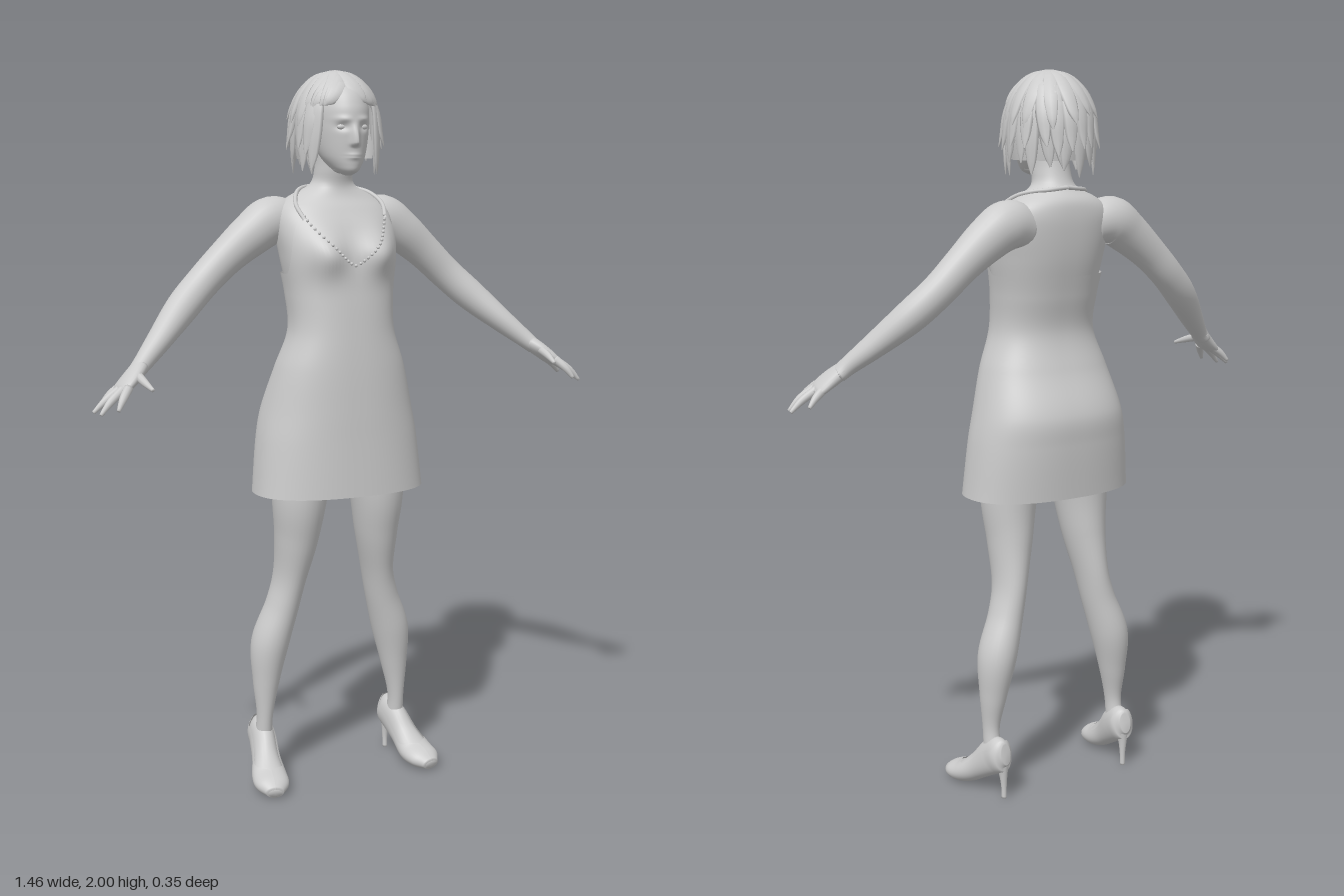
import * as THREE from 'three';
import { mergeGeometries } from 'three/addons/utils/BufferGeometryUtils.js';

const { sin, cos, abs, exp, sign, PI } = Math;
const V = (x, y, z) => new THREE.Vector3(x, y, z);
const step = THREE.MathUtils.smoothstep;
const lerp = THREE.MathUtils.lerp;
const skin = new THREE.MeshStandardMaterial({ color: 0xcccccc });
const thin = new THREE.MeshStandardMaterial({ color: 0xcccccc, side: THREE.DoubleSide });

// Surface from fn(u, v): u runs around, v runs along; shared seam when closed
function grid(fn, nu, nv, closed = true) {
  const pos = [], idx = [], w = closed ? nu : nu + 1;
  for (let j = 0; j <= nv; j++) for (let i = 0; i < w; i++) pos.push(...fn(i / nu, j / nv).toArray());
  for (let j = 0; j < nv; j++) for (let i = 0; i < nu; i++) {
    const a = j * w + i, b = j * w + (i + 1) % w;
    idx.push(a, b, a + w, b, b + w, a + w);
  }
  const g = new THREE.BufferGeometry();
  g.setAttribute('position', new THREE.Float32BufferAttribute(pos, 3));
  g.setIndex(idx);
  g.computeVertexNormals();
  return g;
}

// Elliptical sweep through stations [x, y, z, a, b]; a lies along ref. gap(t) opens the top
function sweep(stations, ref, nu = 16, nv = 32, gap = null) {
  const path = new THREE.CatmullRomCurve3(stations.map(s => V(s[0], s[1], s[2])), false, 'catmullrom');
  const size = new THREE.CatmullRomCurve3(stations.map(s => V(s[3], s[4], 0)), false, 'catmullrom');
  const rings = [];
  for (let j = 0; j <= nv + 2; j++) {
    const t = THREE.MathUtils.clamp((j - 1) / nv, 0, 1), tan = path.getTangent(t);
    const s = ref.clone().addScaledVector(tan, -ref.dot(tan)).normalize();
    const r = size.getPoint(t), end = j === 0 || j === nv + 2 ? 0 : 1;
    rings.push({ c: path.getPoint(t), s: s.clone().multiplyScalar(r.x * end), u: tan.clone().cross(s).multiplyScalar(r.y * end), g: gap ? gap(t) : 0 });
  }
  return grid((u, v) => {
    const k = rings[Math.round(v * (nv + 2))], q = PI / 2 + k.g + u * (2 * PI - 2 * k.g);
    return k.c.clone().addScaledVector(k.s, cos(q)).addScaledVector(k.u, sin(q));
  }, nu, nv + 2, !gap);
}

// Smooth interpolation of rows [y, halfWidth, zFront, zBack]
function profile(rows) {
  const slope = (i, k) => {
    const a = rows[Math.max(i - 1, 0)], b = rows[Math.min(i + 1, rows.length - 1)];
    return (b[k] - a[k]) / (b[0] - a[0]);
  };
  return y => {
    let i = 0;
    while (i < rows.length - 2 && y > rows[i + 1][0]) i++;
    const p = rows[i], q = rows[i + 1], h = q[0] - p[0], t = (y - p[0]) / h, t2 = t * t, t3 = t2 * t;
    return [1, 2, 3].map(k => (2 * t3 - 3 * t2 + 1) * p[k] + (t3 - 2 * t2 + t) * h * slope(i, k)
      + (3 * t2 - 2 * t3) * q[k] + (t3 - t2) * h * slope(i + 1, k));
  };
}

const torsoRows = profile([
  [0.85, 0.245, 0.135, -0.16], [1.0, 0.228, 0.13, -0.172], [1.08, 0.212, 0.128, -0.172], [1.2, 0.18, 0.124, -0.125],
  [1.3, 0.146, 0.118, -0.1], [1.4, 0.148, 0.11, -0.118], [1.5, 0.163, 0.098, -0.14], [1.58, 0.172, 0.068, -0.15],
  [1.63, 0.16, 0.04, -0.15], [1.66, 0.125, 0.02, -0.142], [1.69, 0.068, 0.012, -0.115], [1.73, 0.056, 0.02, -0.1], [1.8, 0.055, 0.03, -0.09]]);

// Torso point at azimuth q (0 = front) and height y, pushed out by off
function torso(q, y, off = 0) {
  const [w, f, b] = torsoRows(y), n = lerp(0.84, 1, step(y, 1.6, 1.7));
  const x = w * sign(sin(q)) * abs(sin(q)) ** n, c = sign(cos(q)) * abs(cos(q)) ** n;
  const bust = 0.034 * exp(-(((abs(x) - 0.08) / 0.05) ** 2) - ((y - 1.515) / 0.055) ** 2) * step(c, 0, 0.5);
  return V(x + off * sin(q), y, (f + b) / 2 + c * (f - b) / 2 + bust + off * cos(q));
}

// Upper edge of the dress: V neck, peaks over the bust, low back
const neckline = q => {
  const a = abs(q);
  return a < 0.7 ? lerp(1.48, 1.61, (a / 0.7) ** 1.2) : lerp(1.61, 1.455, step(a, 0.7, 1.5));
};

const headRows = profile([
  [1.718, 0.008, 0.07, 0.04], [1.728, 0.027, 0.088, 0.005], [1.745, 0.043, 0.094, -0.03], [1.77, 0.058, 0.096, -0.06],
  [1.81, 0.07, 0.1, -0.1], [1.85, 0.076, 0.102, -0.12], [1.9, 0.077, 0.097, -0.13], [1.95, 0.06, 0.066, -0.11], [1.985, 0.015, 0, -0.05]]);

function headPoint(q, y) {
  const [w, f, b] = headRows(y), x = w * sin(q);
  let z = (f + b) / 2 + cos(q) * (f - b) / 2;
  if (cos(q) > 0) {
    const dot = (cx, cy, sx, sy) => exp(-(((abs(x) - cx) / sx) ** 2) - ((y - cy) / sy) ** 2);
    z += 0.022 * exp(-((x / 0.01) ** 2)) * step(y, 1.79, 1.803) * (1 - step(y, 1.803, 1.87)); // nose
    z += 0.006 * dot(0, 1.768, 0.018, 0.008) - 0.003 * dot(0, 1.768, 0.02, 0.002); // lips
    z += 0.005 * dot(0.03, 1.865, 0.02, 0.008) - 0.008 * dot(0.031, 1.845, 0.015, 0.01); // brows, sockets
  }
  return V(x, y, z);
}

// Hair volume: ellipsoid above the ears, gently tapering below; k scales the radius
function hairPoint(q, phi, k = 1) {
  const d = Math.max(phi - PI / 2, 0), r = k * (d > 0 ? 1 - 0.12 * d * d : sin(phi));
  return V(0.11 * r * sin(q), 1.862 + 0.13 * (d > 0 ? -d : cos(phi)), -0.032 + 0.125 * r * cos(q));
}

function hairLocks() {
  let seed = 7;
  const rnd = () => (seed = (seed * 16807) % 2147483647) / 2147483647;
  const locks = [];
  [[1.6, 15, 1.13], [2.15, 19, 1.2], [2.55, 21, 1.17]].forEach(([last, count, flick], layer) => {
    for (let i = 0; i < count; i++) {
      const q0 = ((i + 0.5) / count) * 2 * PI - PI, front = abs(q0) < 0.85;
      const end = front ? 1.2 + 0.2 * abs(q0) : last + 0.3 * (rnd() - 0.5);
      const swing = front ? sign(q0 + 0.15) * 0.4 : (rnd() - 0.5) * 0.35;
      const start = 0.08 + 0.25 * layer, tip = front ? 1.05 : flick + 0.08 * (rnd() - 0.5);
      const pts = [0, 0.3, 0.6, 0.85, 1].map((t, n) => {
        const p = hairPoint(q0 + swing * t * t, lerp(start, end, t), lerp(1, tip, t ** 4));
        return [p.x, p.y, p.z, [0.01, 0.02, 0.022, 0.015, 0.002][n], [0.004, 0.007, 0.008, 0.006, 0.001][n]];
      });
      locks.push(sweep(pts, V(cos(q0), 0, -sin(q0)), 8, 14));
    }
  });
  return mergeGeometries(locks);
}

export function createModel() {
  const model = new THREE.Group();
  const add = (name, geo, mat = skin, parent = model) => {
    const m = new THREE.Mesh(geo, mat);
    m.name = name;
    parent.add(m);
    return m;
  };
  const around = u => u * 2 * PI - PI;

  add('torso', grid((u, v) => torso(around(u), lerp(1.0, 1.79, v), -0.004), 72, 90));
  add('dress', grid((u, v) => torso(around(u), lerp(0.85, neckline(around(u)), v), 0.003), 96, 80), thin);
  add('head', grid((u, v) => headPoint(around(u), lerp(1.718, 1.985, v)), 96, 90));
  add('chinUnderside', new THREE.SphereGeometry(0.035, 20, 12).scale(1, 0.5, 1.3).translate(0, 1.738, 0.038));

  // Cap of hair, cut away over the face, with layered locks on top
  add('hairCap', grid((u, v) => {
    const q = around(u), edge = lerp(1.0, 2.35, step(abs(q), 0.8, 1.2));
    return hairPoint(q, edge * (1 - v), 0.99);
  }, 64, 28), thin);
  add('hairLocks', hairLocks());

  // Beaded trim along the neckline
  const beads = [];
  for (let i = -14; i <= 14; i++) {
    const q = i * 0.05, p = torso(q, neckline(q), 0.004);
    beads.push(new THREE.SphereGeometry(0.0045, 8, 6).translate(p.x, p.y, p.z));
  }
  add('necklineBeads', mergeGeometries(beads));

  for (const [side, m] of [['left', 1], ['right', -1]]) {
    const body = new THREE.Group();
    body.name = side + 'Side';
    model.add(body);
    const limb = (name, pts, ref, ...opt) =>
      add(side + name, sweep(pts.map(([x, ...r]) => [x * m, ...r]), ref, ...opt), opt[2] ? thin : skin, body);

    const strap = [[0.7, 1.6], [0.95, 1.64], [1.35, 1.668], [1.9, 1.68], [2.5, 1.685], [PI, 1.69]].map(([q, y]) => torso(q * m, y, 0.003));
    add(side + 'Strap', new THREE.TubeGeometry(new THREE.CatmullRomCurve3(strap), 30, 0.006, 8), skin, body);
    add(side + 'Eye', new THREE.SphereGeometry(0.011, 16, 10).scale(1.2, 0.7, 0.7).translate(0.031 * m, 1.845, 0.082), skin, body);

    limb('Arm', [[0.1, 1.585, -0.08, 0.05, 0.055], [0.165, 1.595, -0.083, 0.06, 0.066], [0.225, 1.56, -0.08, 0.056, 0.06],
      [0.3, 1.5, -0.08, 0.047, 0.05], [0.37, 1.435, -0.075, 0.044, 0.046], [0.44, 1.37, -0.05, 0.044, 0.044],
      [0.52, 1.295, 0, 0.036, 0.033], [0.575, 1.245, 0.035, 0.027, 0.025], [0.6, 1.222, 0.048, 0.03, 0.021]], V(0, 0, 1), 24, 48);
    limb('Palm', [[0.585, 1.236, 0.04, 0.027, 0.021], [0.615, 1.211, 0.06, 0.038, 0.02], [0.645, 1.186, 0.073, 0.042, 0.016],
      [0.658, 1.176, 0.077, 0.034, 0.009]], V(0, 0, 1), 20, 16);
    const fingers = {
      Index: [[0.638, 1.19, 0.103], [0.66, 1.165, 0.126], [0.677, 1.138, 0.14]],
      Middle: [[0.645, 1.187, 0.088], [0.685, 1.158, 0.104], [0.715, 1.126, 0.112]],
      Ring: [[0.645, 1.187, 0.07], [0.69, 1.158, 0.077], [0.725, 1.128, 0.078]],
      Little: [[0.638, 1.19, 0.048], [0.668, 1.168, 0.041], [0.692, 1.143, 0.034]],
      Thumb: [[0.605, 1.218, 0.07], [0.602, 1.205, 0.12], [0.594, 1.19, 0.168]],
    };
    for (const [name, p] of Object.entries(fingers))
      limb(name + 'Finger', p.map((c, i) => [...c, [0.0125, 0.0105, 0.005][i], [0.0125, 0.0105, 0.005][i]]),
        name === 'Thumb' ? V(0, 1, 0) : V(0, 0, 1), 10, 12);

    limb('Leg', [[0.1, 1.04, -0.02, 0.09, 0.095], [0.118, 0.85, -0.008, 0.078, 0.087], [0.124, 0.72, -0.02, 0.061, 0.074],
      [0.137, 0.6, -0.04, 0.045, 0.062], [0.157, 0.51, -0.05, 0.046, 0.057], [0.191, 0.4, -0.06, 0.053, 0.059],
      [0.204, 0.29, -0.059, 0.038, 0.042], [0.21, 0.19, -0.056, 0.023, 0.027], [0.211, 0.11, -0.068, 0.025, 0.032]], V(1, 0, 0), 28, 56);

    // Foot inside an open-topped pump with a slim heel
    const foot = [[0.205, 0.132, -0.128, 0.012, 0.025], [0.208, 0.128, -0.108, 0.03, 0.047], [0.212, 0.112, -0.07, 0.033, 0.05],
      [0.222, 0.072, -0.02, 0.036, 0.038], [0.232, 0.038, 0.03, 0.046, 0.031], [0.24, 0.027, 0.075, 0.043, 0.024],
      [0.246, 0.018, 0.108, 0.02, 0.012]];
    limb('Foot', foot, V(1, 0, 0), 24, 36);
    limb('Shoe', foot.map(([x, y, z, a, b]) => [x, y + 0.001, z, a + 0.004, b + 0.004]), V(1, 0, 0), 32, 44,
      t => 1.25 * step(t, 0.02, 0.2) * (1 - step(t, 0.55, 0.74)));
    limb('Heel', [[0.207, 0.115, -0.108, 0.024, 0.022], [0.206, 0.075, -0.113, 0.013, 0.013], [0.205, 0.035, -0.115, 0.008, 0.008],
      [0.205, 0, -0.115, 0.007, 0.008]], V(1, 0, 0), 16, 20);
  }
  return model;
}
